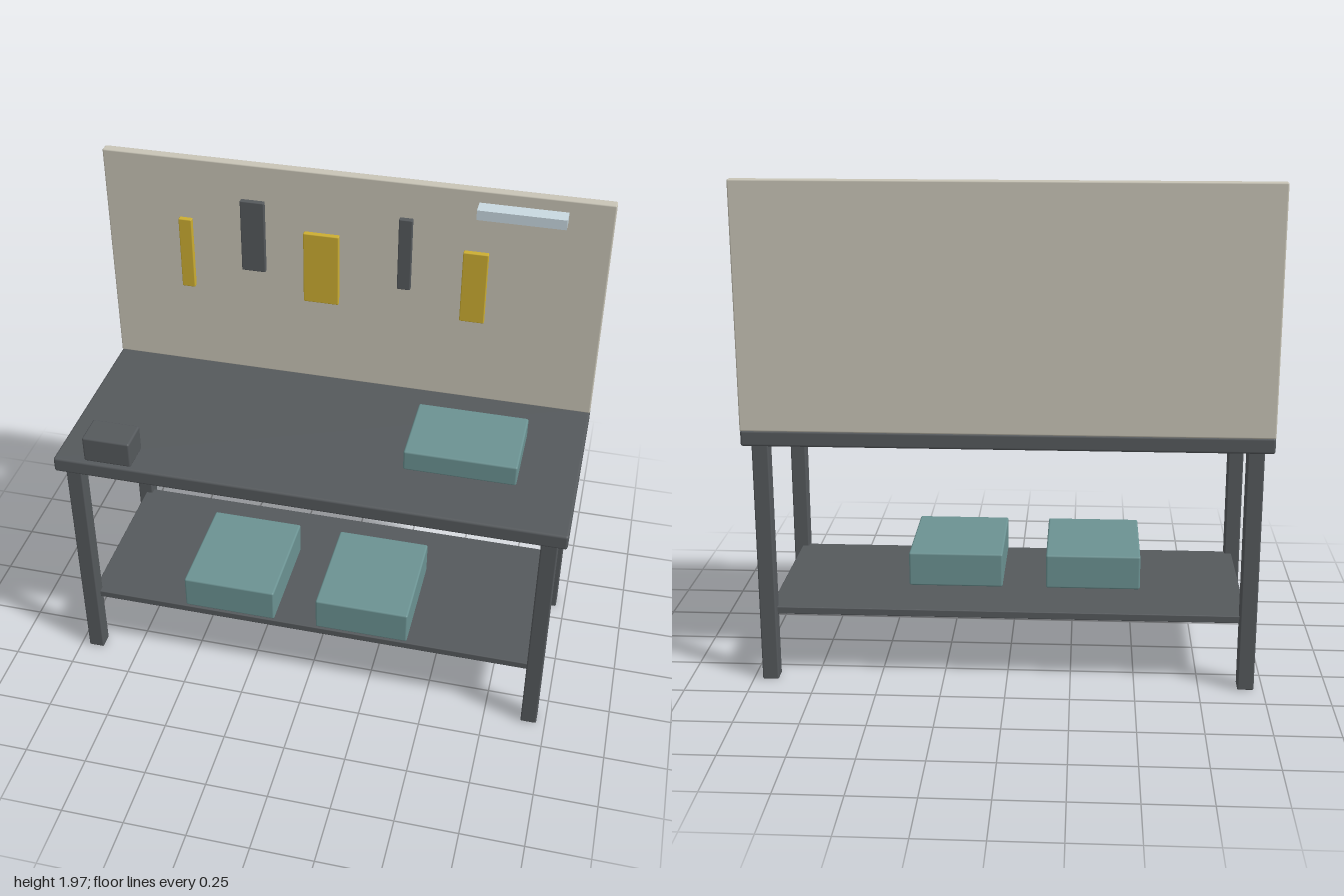
import * as THREE from 'three';
import { RoundedBoxGeometry } from 'three/addons/geometries/RoundedBoxGeometry.js';

const material = (color) => new THREE.MeshStandardMaterial({ color });

export function createModel() {
  const bench = new THREE.Group();
  bench.name = 'workbench';

  const steel = material(0x55595c);
  const board = material(0xc8c4b6);
  const yellow = material(0xccae32);
  const teal = material(0x6b9292);
  const pale = material(0xc8d8e0);

  // Softly bevelled box given by its [min, max] range on each axis
  function block(name, mat, [x0, x1], [y0, y1], [z0, z1], bevel = 0.006) {
    const size = [x1 - x0, y1 - y0, z1 - z0];
    const geometry = bevel
      ? new RoundedBoxGeometry(...size, 2, bevel)
      : new THREE.BoxGeometry(...size);
    const mesh = new THREE.Mesh(geometry, mat);
    mesh.name = name;
    mesh.position.set((x0 + x1) / 2, (y0 + y1) / 2, (z0 + z1) / 2);
    bench.add(mesh);
  }

  // Frame: top, shelf and four legs
  block('tabletop', steel, [-1, 1], [0.97, 1.033], [-0.413, 0.413], 0.01);
  block('lowerShelf', steel, [-0.93, 0.93], [0.265, 0.295], [-0.35, 0.35], 0.004);
  for (const x of [-0.933, 0.933]) {
    for (const z of [-0.353, 0.353]) {
      const side = x > 0 ? 'Left' : 'Right';
      block((z > 0 ? 'front' : 'back') + side + 'Leg', steel,
        [x - 0.032, x + 0.032], [0, 0.975], [z - 0.032, z + 0.032]);
    }
  }

  // Tool board standing on the rear edge
  block('toolBoard', board, [-1, 1], [1.03, 1.97], [-0.416, -0.376], 0.006);

  // Hanging tools: left edge, right edge, bottom, material
  const tools = [
    [-0.697, -0.643, 1.405, yellow],
    [-0.44, -0.343, 1.515, steel],
    [-0.186, -0.043, 1.405, yellow],
    [0.193, 0.246, 1.515, steel],
    [0.447, 0.545, 1.405, yellow],
  ];
  tools.forEach(([x0, x1, y, mat], i) =>
    block(`hangingTool${i + 1}`, mat, [x0, x1], [y, y + 0.308], [-0.377, -0.354], 0.004));

  // Lamp bar in front of the board
  block('lampBar', pale, [0.495, 0.83], [1.888, 1.928], [-0.365, -0.302], 0);

  // Vise and storage boxes
  block('vise', steel, [-0.876, -0.685], [1.033, 1.142], [0.27, 0.398], 0.008);
  block('benchBox', teal, [0.335, 0.773], [1.033, 1.12], [-0.163, 0.163], 0.008);
  block('shelfBoxRight', teal, [-0.525, -0.145], [0.295, 0.436], [-0.105, 0.343], 0.008);
  block('shelfBoxLeft', teal, [0.03, 0.41], [0.295, 0.436], [-0.105, 0.343], 0.008);

  return bench;
}
